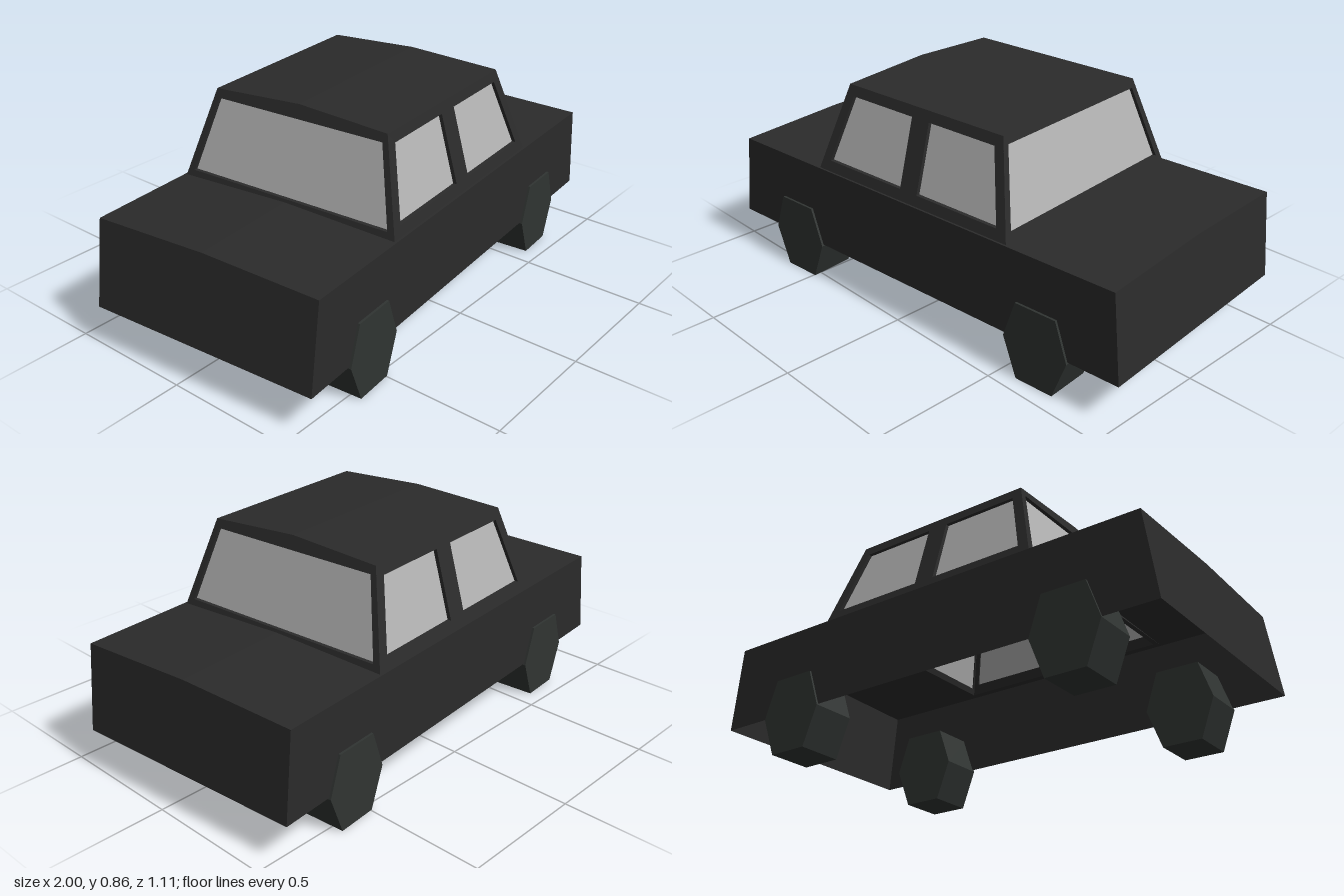
import * as THREE from 'three';

const paint = new THREE.MeshStandardMaterial({ color: 0x2b2b2b, flatShading: true, side: THREE.DoubleSide });
const rubber = new THREE.MeshStandardMaterial({ color: 0x303432, flatShading: true });
const glass = new THREE.MeshStandardMaterial({ color: 0xb4b4b4, flatShading: true, side: THREE.DoubleSide });

const LEAN = 0.279; // inward slope of the cabin walls per unit of height
const BASE = 0.5;   // belt line

function addMesh(parent, name, geometry, material) {
  const mesh = new THREE.Mesh(geometry, material);
  mesh.name = name;
  parent.add(mesh);
  return mesh;
}

// Convex polygons, corners counter-clockwise from outside
function polygons(faces) {
  const pos = [];
  for (const f of faces)
    for (let i = 1; i < f.length - 1; i++) pos.push(...f[0], ...f[i], ...f[i + 1]);
  const g = new THREE.BufferGeometry();
  g.setAttribute('position', new THREE.Float32BufferAttribute(pos, 3));
  g.computeVertexNormals();
  return g;
}

const outline = (pts) => pts.map(([x, y]) => new THREE.Vector2(x, y));

// Tilt an upright panel to the cabin slope; "offset" is its distance at the belt line
function lean(g, offset) {
  const p = g.attributes.position;
  for (let i = 0; i < p.count; i++)
    p.setZ(i, p.getZ(i) + offset - (p.getY(i) - BASE) * LEAN);
  g.computeVertexNormals();
  return g;
}

// Cabin wall with window openings and recessed panes
function cabinWall(name, edge, windows, offset, turn) {
  const wall = new THREE.Group();
  wall.name = name;
  const depth = 0.02;
  const shape = new THREE.Shape(outline(edge));
  shape.holes = windows.map((w) => new THREE.Path(outline(w)));
  const frame = new THREE.ExtrudeGeometry(shape, { depth, bevelEnabled: false });
  addMesh(wall, 'windowFrame', lean(frame, offset - depth), paint);
  for (const w of windows)
    addMesh(wall, 'windowPane', lean(new THREE.ShapeGeometry(new THREE.Shape(outline(w))), offset - 0.015), glass);
  wall.rotation.y = turn;
  return wall;
}

export function createModel() {
  const model = new THREE.Group();
  model.name = 'car';
  const car = new THREE.Group();
  car.name = 'carBody';
  car.rotation.y = 0.084;
  model.add(car);

  // Lower body: hollow shell, open underneath
  const L = 0.963, W = 0.478, low = 0.16, crown = 0.513;
  const front = 0.93, back = -0.913;
  addMesh(car, 'lowerBody', polygons([
    [[-L, low, W], [L, low, W], [front, BASE, W], [back, BASE, W]],
    [[L, low, -W], [-L, low, -W], [back, BASE, -W], [front, BASE, -W]],
    [[L, low, W], [L, low, -W], [front, BASE, -W], [front, crown, 0], [front, BASE, W]],
    [[-L, low, -W], [-L, low, W], [back, BASE, W], [back, crown, 0], [back, BASE, -W]],
  ]), paint);

  // Crowned decks ahead of and behind the cabin
  const deck = (name, x0, x1) => addMesh(car, name, polygons([
    [[x0, BASE, W], [x1, BASE, W], [x1, crown, 0], [x0, crown, 0]],
    [[x0, crown, 0], [x1, crown, 0], [x1, BASE, -W], [x0, BASE, -W]],
  ]), paint);
  deck('hood', 0.47, front);
  deck('trunkLid', back, -0.47);

  // Narrow ledges beside the cabin
  for (const s of [-1, 1]) {
    const a = s > 0 ? W : -0.465, b = s > 0 ? 0.465 : -W;
    addMesh(car, 'beltLedge', polygons([
      [[-0.475, BASE, a], [0.475, BASE, a], [0.475, BASE, b], [-0.475, BASE, b]],
    ]), paint);
  }

  // Cabin walls
  const sideEdge = [[-0.475, 0.5], [0.475, 0.5], [0.38, 0.84], [-0.38, 0.84]];
  const sideWindows = [
    [[-0.422, 0.54], [-0.042, 0.54], [-0.042, 0.8], [-0.35, 0.8]],
    [[0.042, 0.54], [0.422, 0.54], [0.35, 0.8], [0.042, 0.8]],
  ];
  const endEdge = [[-0.47, 0.5], [0.47, 0.5], [0.375, 0.84], [0, 0.86], [-0.375, 0.84]];
  const endWindow = [[[-0.435, 0.525], [0.435, 0.525], [0.36, 0.808], [-0.36, 0.808]]];
  car.add(
    cabinWall('leftCabinWall', sideEdge, sideWindows, 0.47, 0),
    cabinWall('rightCabinWall', sideEdge, sideWindows, 0.47, Math.PI),
    cabinWall('windshield', endEdge, endWindow, 0.475, Math.PI / 2),
    cabinWall('rearWindow', endEdge, endWindow, 0.475, -Math.PI / 2),
  );

  // Crowned roof
  const r = 0.38, c = 0.3745, w = 0.375;
  addMesh(car, 'roof', polygons([
    [[-r, 0.84, w], [r, 0.84, w], [c, 0.86, 0], [-c, 0.86, 0]],
    [[-c, 0.86, 0], [c, 0.86, 0], [r, 0.84, -w], [-r, 0.84, -w]],
  ]), paint);

  // Six-sided wheels
  const hexagon = new THREE.Shape(outline([
    [-0.08, 0], [0.08, 0], [0.139, 0.155], [0.087, 0.305], [-0.087, 0.305], [-0.139, 0.155],
  ]));
  const wheel = new THREE.ExtrudeGeometry(hexagon, { depth: 0.18, bevelEnabled: false });
  for (const x of [-0.618, 0.618])
    for (const s of [-1, 1])
      addMesh(car, 'wheel', wheel, rubber).position.set(x, 0, s > 0 ? 0.307 : -0.487);

  return model;
}
